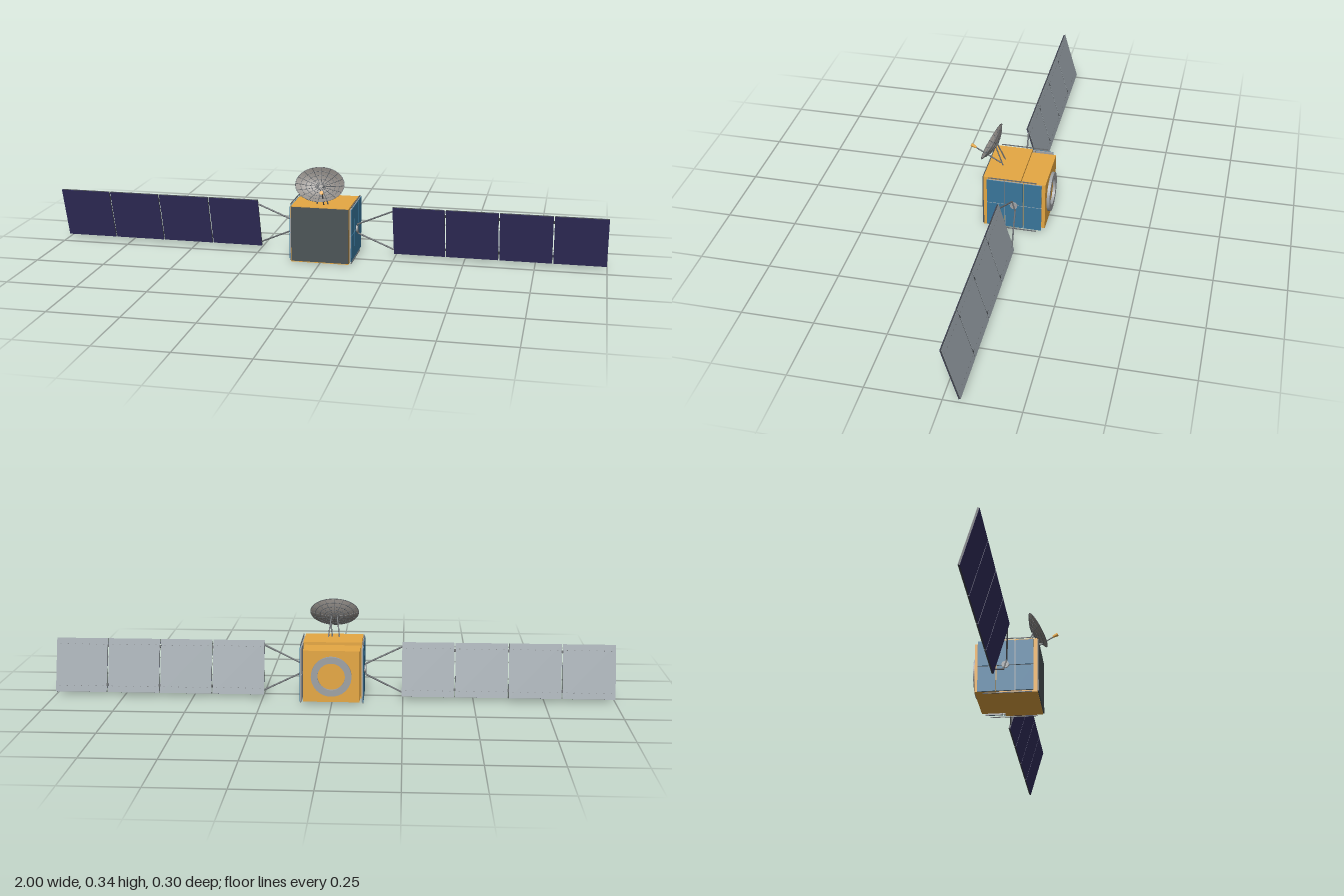
import * as THREE from 'three';

const mat = (name, color, side = THREE.FrontSide) => {
  const m = new THREE.MeshStandardMaterial({ color, side });
  m.name = name;
  return m;
};

export function createModel() {
  const gold = mat('gold foil', 0xe6a843);
  const blue = mat('blue radiator', 0x39769b);
  const navy = mat('solar cell navy', 0x343060);
  const grey = mat('panel grey', 0x959ea4);
  const slate = mat('slate plate', 0x4c5457);
  const dark = mat('dark metal', 0x43474b);
  const steel = mat('steel grey', 0x686c70);
  const light = mat('light metal', 0x9fa2a5);
  const mesh = mat('dish mesh', 0x8f8a85, THREE.DoubleSide);

  const model = new THREE.Group();
  model.name = 'satellite';
  const V = (x, y, z) => new THREE.Vector3(x, y, z);

  function add(parent, name, geometry, material, x = 0, y = 0, z = 0) {
    const m = new THREE.Mesh(geometry, material);
    m.name = name;
    m.position.set(x, y, z);
    parent.add(m);
    return m;
  }
  const box = (parent, name, material, w, h, d, x, y, z) =>
    add(parent, name, new THREE.BoxGeometry(w, h, d), material, x, y, z);

  // Cylinder running between two points
  function rod(parent, name, material, a, b, r0, r1 = r0, sides = 8) {
    const dir = b.clone().sub(a);
    const m = add(parent, name, new THREE.CylinderGeometry(r1, r0, dir.length(), sides), material);
    m.position.copy(a).add(b).multiplyScalar(0.5);
    m.quaternion.setFromUnitVectors(V(0, 1, 0), dir.normalize());
    return m;
  }

  // Body: wider front section, slightly smaller rear section, front plate
  const body = new THREE.Group();
  body.name = 'body';
  model.add(body);
  box(body, 'frontBody', gold, 0.208, 0.204, 0.134, 0, 0.105, 0.017);
  box(body, 'rearBody', gold, 0.198, 0.184, 0.088, 0, 0.105, -0.093);
  box(body, 'frontPlate', slate, 0.206, 0.198, 0.005, 0.001, 0.106, 0.0855);

  // Docking ring on the rear
  const ringShape = new THREE.Shape().absarc(0, 0, 0.071, 0, Math.PI * 2);
  ringShape.holes.push(new THREE.Path().absarc(0, 0, 0.048, 0, Math.PI * 2, true));
  add(body, 'rearRing',
    new THREE.ExtrudeGeometry(ringShape, { depth: 0.011, bevelEnabled: false, curveSegments: 24 }),
    light, 0, 0.106, -0.147);

  // Solar panels tilt about x, so the top edge leans forward
  const wingY = 0.106, wingZ = -0.0275, tilt = 0.285;

  for (const s of [1, -1]) {
    const side = new THREE.Group();
    side.name = s > 0 ? 'leftSide' : 'rightSide';
    model.add(side);

    // Radiator tiles, three columns by two rows, each a blue face on a grey core
    for (const z of [0.039, -0.0275, -0.094])
      for (const y of [0.0565, 0.1535]) {
        box(side, 'radiatorCore', light, 0.005, 0.094, 0.063, s * 0.1075, y, z);
        box(side, 'radiatorFace', blue, 0.002, 0.094, 0.063, s * 0.111, y, z);
      }
    box(side, 'radiatorSeam', light, 0.002, 0.19, 0.003, s * 0.105, 0.105, 0.0057);

    // Thin rails along the long edges of the body
    for (const y of [0.002, 0.2085])
      box(side, 'edgeRail', steel, 0.003, 0.003, 0.172, s * 0.11, y, -0.021);

    // Hub and wing
    rod(side, 'hub', light, V(s * 0.105, wingY, wingZ), V(s * 0.118, wingY, wingZ), 0.013, 0.013, 20);
    const wing = new THREE.Group();
    wing.name = 'solarWing';
    wing.position.set(0, wingY, wingZ);
    wing.rotation.x = tilt;
    side.add(wing);

    // Yoke
    rod(wing, 'yokeCrossbar', steel, V(s * 0.117, -0.02, 0), V(s * 0.117, 0.02, 0), 0.003);
    for (const u of [1, -1])
      rod(wing, 'yokeArm', steel, V(s * 0.117, u * 0.019, 0), V(s * 0.247, u * 0.081, 0), 0.003);

    // Four hinged solar panels: dark core, grey back skin, navy cells
    for (let i = 0; i < 4; i++) {
      const x = s * (0.3385 + i * 0.1893);
      box(wing, 'panelCore', dark, 0.185, 0.194, 0.005, x, 0, 0);
      box(wing, 'panelBack', grey, 0.185, 0.194, 0.001, x, 0, -0.003);
      box(wing, 'panelCells', navy, 0.185, 0.194, 0.001, x, 0, 0.003);
      for (const u of [1, -1]) {
        if (i < 3) box(wing, 'hinge', dark, 0.006, 0.01, 0.003, x + s * 0.0947, u * 0.07, -0.003);
        for (let k = 0; k < 7; k++)
          box(wing, 'rivet', steel, 0.004, 0.002, 0.001, x + (k - 3) * 0.026, u * 0.075, -0.0035);
      }
    }
  }

  // Oval dish, tipped up and forward
  const dish = new THREE.Group();
  dish.name = 'dish';
  dish.position.set(0, 0.278, 0.058);
  dish.rotation.x = 1.04;
  model.add(dish);
  const RX = 0.087, RZ = 0.063, DEPTH = 0.023;
  const profile = [];
  for (let i = 0; i <= 8; i++) profile.push(new THREE.Vector2(i / 8, (i / 8) ** 2));
  add(dish, 'reflector', new THREE.LatheGeometry(profile, 36), mesh).scale.set(RX, DEPTH, RZ);

  // Lattice of rings and spokes over the reflector
  const onDish = (r, a) => V(RX * r * Math.cos(a), DEPTH * r * r, RZ * r * Math.sin(a));
  for (let i = 1; i <= 5; i++) {
    const pts = [];
    for (let k = 0; k < 24; k++) pts.push(onDish(i / 5, (k / 24) * Math.PI * 2));
    add(dish, 'dishRing',
      new THREE.TubeGeometry(new THREE.CatmullRomCurve3(pts, true), 48, 0.0013, 5, true), steel);
  }
  for (let k = 0; k < 16; k++) {
    const a = (k / 16) * Math.PI * 2;
    const curve = new THREE.CatmullRomCurve3([0.08, 0.4, 0.7, 1].map((r) => onDish(r, a)));
    add(dish, 'dishSpoke', new THREE.TubeGeometry(curve, 8, 0.0012, 5), steel);
  }

  // Dish struts, feed boom and feed horn
  for (const s of [1, -1])
    rod(model, 'dishStrut', steel, V(s * 0.02, 0.206, 0.032), V(s * 0.01, 0.28, 0.062), 0.0024);
  rod(model, 'feedBoom', steel, V(0.006, 0.206, 0.04), V(0.02, 0.27, 0.131), 0.0024);
  rod(model, 'feedHorn', gold, V(0.02, 0.27, 0.129), V(0.02, 0.279, 0.147), 0.004, 0.0065, 12);

  return model;
}
